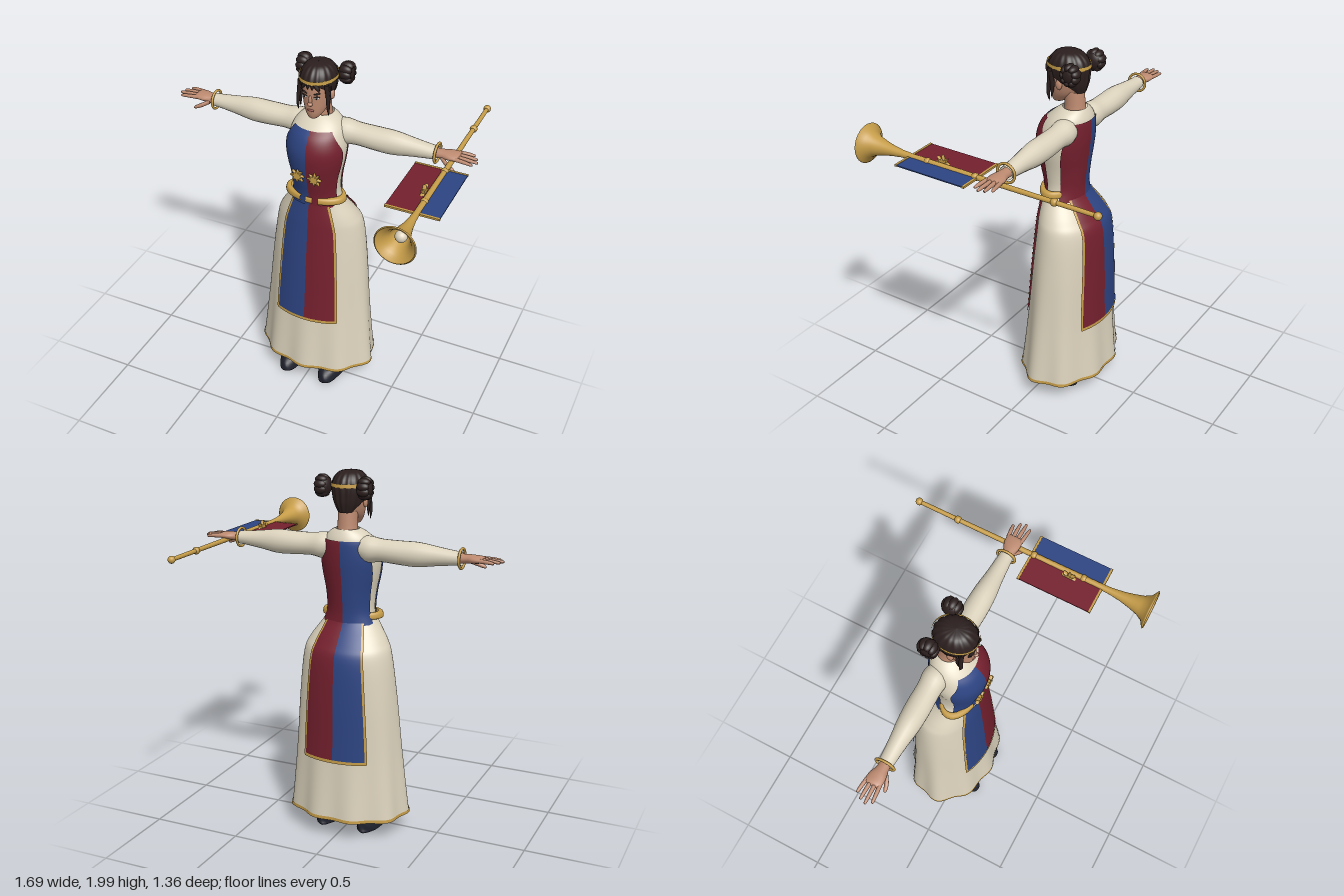
import * as THREE from 'three';
import { mergeVertices } from 'three/addons/utils/BufferGeometryUtils.js';

const mat = (name, color) => new THREE.MeshStandardMaterial({ name, color, side: THREE.DoubleSide });

export function createModel() {
  const cream = mat('cream cloth', 0xdcd3bd), blue = mat('blue cloth', 0x2d4482), red = mat('red cloth', 0x74202e);
  const gold = mat('gold', 0xc59c48), skin = mat('skin', 0xbd8a70), hair = mat('dark hair', 0x2b1f1e);
  const shoeMat = mat('shoe leather', 0x20222d), white = mat('eye white', 0xe4ded6), lip = mat('lips', 0x93544c);
  const model = new THREE.Group();
  model.name = 'herald';

  const add = (name, geo, material, x = 0, y = 0, z = 0, parent = model) => {
    const m = new THREE.Mesh(geo, material);
    m.name = name;
    m.position.set(x, y, z);
    parent.add(m);
    return m;
  };
  const ball = (name, material, p, s) => {
    const m = add(name, new THREE.SphereGeometry(1, 20, 14), material, ...p);
    m.scale.set(...s);
    return m;
  };

  // Smooth surface from a point rule over u, v in 0..1
  function grid(nu, nv, fn) {
    const pos = [], idx = [], w = nv + 1;
    for (let i = 0; i <= nu; i++) for (let j = 0; j <= nv; j++) pos.push(...fn(i / nu, j / nv));
    for (let i = 0; i < nu; i++) for (let j = 0; j < nv; j++) {
      const a = i * w + j;
      idx.push(a, a + 1, a + w, a + 1, a + w + 1, a + w);
    }
    const g = new THREE.BufferGeometry();
    g.setAttribute('position', new THREE.Float32BufferAttribute(pos, 3));
    g.setIndex(idx);
    const merged = mergeVertices(g, 1e-5);
    merged.computeVertexNormals();
    return merged;
  }
  // Catmull-Rom interpolation of a table of rows
  function at(rows, t) {
    const n = rows.length - 1, i = Math.min(Math.floor(t), n - 1), f = t - i;
    const r = k => rows[Math.max(0, Math.min(n, k))];
    return rows[i].map((b, c) => {
      const a = r(i - 1)[c], d = r(i + 1)[c], e = r(i + 2)[c];
      return b + 0.5 * f * (d - a + f * (2 * a - 5 * b + 4 * d - e + f * (3 * (b - d) + e - a)));
    });
  }
  // Oval loft: row = [y, half width, front z, back z, ...], angle 0 faces front
  function loft(rows, o = {}) {
    const { t0 = 0, t1 = rows.length - 1, nu = 24, nv = 48, from = () => 0, to = () => Math.PI * 2, off = 0, ripple = () => 1 } = o;
    return grid(nu, nv, (u, v) => {
      const t = t0 + (t1 - t0) * u, r = at(rows, t);
      const a = THREE.MathUtils.lerp(from(r), to(r), v), k = ripple(a, t);
      const rz = (r[2] - r[3]) / 2;
      return [(r[1] + off) * k * Math.sin(a), r[0], (r[2] + r[3]) / 2 + (rz + off) * k * Math.cos(a)];
    });
  }
  // Limb along x: station = [x, y, z, half height, half depth]
  const limb = (st, s, nu = 24, nv = 20) => grid(nu, nv, (u, v) => {
    const [x, y, z, ry, rz] = at(st, u * (st.length - 1)), a = v * Math.PI * 2;
    return [s * x, y - s * ry * Math.sin(a), z + rz * Math.cos(a)];
  });
  const starGeo = (R, n) => {
    const s = new THREE.Shape();
    for (let i = 0; i < n * 2; i++) {
      const a = i * Math.PI / n, r = i % 2 ? R * 0.5 : R;
      s[i ? 'lineTo' : 'moveTo'](r * Math.sin(a), r * Math.cos(a));
    }
    return new THREE.ExtrudeGeometry(s, { depth: 0.008, bevelSize: 0.004, bevelThickness: 0.006, bevelSegments: 1 });
  };

  // Skirt with folds, gold hem (last column is the tabard's half width)
  const skirt = [[0.115, 0.335, 0.165, -0.312, 0.19], [0.46, 0.303, 0.128, -0.288, 0.185], [0.8, 0.275, 0.1, -0.278, 0.168],
    [1.02, 0.248, 0.08, -0.262, 0.152], [1.1, 0.218, 0.073, -0.222, 0.138], [1.19, 0.158, 0.062, -0.155, 0.112], [1.24, 0.132, 0.058, -0.135, 0.1]];
  const folds = (a, t) => 1 + 0.035 * Math.max(0, 1 - t / 3) ** 1.5 * Math.cos(9 * a + 0.6 * Math.sin(2 * a));
  add('skirt', loft(skirt, { nu: 40, nv: 108, ripple: folds }), cream);
  add('skirtHem', loft(skirt, { t0: 0, t1: 0.09, nu: 2, nv: 108, ripple: folds, off: 0.004 }), gold);

  // Tabard hanging front and back, split into two colours, with gold borders
  function tabard(name, material, side, sx, t0, t1, edge0, edge1, off) {
    add(name, grid(24, 10, (u, v) => {
      const r = at(skirt, t0 + (t1 - t0) * u);
      const x = edge0(r[4]) + (edge1(r[4]) - edge0(r[4])) * v;
      const rz = (r[2] - r[3]) / 2, z = (r[2] + r[3]) / 2 + side * (rz * Math.sqrt(1 - (x / r[1]) ** 2) + off);
      return [sx * x, r[0], z];
    }), material);
  }
  for (const side of [1, -1]) for (const sx of [1, -1]) {
    tabard('tabardPanel', sx > 0 ? red : blue, side, sx, 1, 5.2, () => 0, w => w, 0.012);
    tabard('tabardSideTrim', gold, side, sx, 1, 5.2, w => w - 0.01, w => w + 0.002, 0.015);
    tabard('tabardBottomTrim', gold, side, sx, 0.98, 1.03, () => 0, w => w, 0.015);
  }

  // Torso: cream dress under a two-colour bodice (last columns limit the front and back panels)
  const torso = [[1.19, 0.148, 0.06, -0.155, 1.25, 1.9], [1.26, 0.128, 0.064, -0.153, 1.25, 1.93], [1.36, 0.134, 0.088, -0.163, 1.3, 1.96],
    [1.45, 0.152, 0.104, -0.174, 1.35, 2.0], [1.53, 0.16, 0.106, -0.183, 1.33, 2.08], [1.6, 0.148, 0.082, -0.186, 1.05, 2.2],
    [1.645, 0.132, 0.042, -0.183, 0.85, 2.3], [1.68, 0.1, 0.0, -0.168, 0.8, 2.4], [1.7, 0.065, -0.03, -0.155, 0.8, 2.4]];
  add('dressTop', loft(torso), cream);
  for (const s of [1, -1]) {
    const m = s > 0 ? red : blue, o = { t1: 6, nv: 16, off: 0.006 };
    add('bodiceFront', loft(torso, { ...o, from: r => s > 0 ? 0 : -r[4], to: r => s > 0 ? r[4] : 0 }), m);
    add('bodiceBack', loft(torso, { ...o, from: r => s > 0 ? r[5] : -Math.PI, to: r => s > 0 ? Math.PI : -r[5] }), m);
    add('chestStar', starGeo(0.036, 8), gold, s * 0.048, 1.395, 0.1);
  }

  // Belt with two notches at the front
  const belt = [[1.215, 0.15, 0.05, -0.11], [1.217, 0.172, 0.074, -0.125], [1.247, 0.167, 0.072, -0.122], [1.25, 0.145, 0.05, -0.11]];
  add('beltSides', loft(belt, { nu: 9, from: () => 0.3, to: () => Math.PI * 2 - 0.3 }), gold);
  add('beltCentre', loft(belt, { nu: 9, nv: 6, from: () => -0.12, to: () => 0.12 }), gold);

  // Arms
  for (const s of [1, -1]) {
    add('sleeve', limb([[0.07, 1.605, -0.1, 0.055, 0.06], [0.13, 1.6, -0.105, 0.07, 0.068], [0.2, 1.6, -0.105, 0.06, 0.062], [0.3, 1.597, -0.105, 0.062, 0.064],
      [0.4, 1.596, -0.105, 0.064, 0.06], [0.5, 1.597, -0.105, 0.05, 0.048], [0.6, 1.597, -0.105, 0.037, 0.04], [0.635, 1.597, -0.105, 0.035, 0.038]], s), cream);
    const band = add('bracelet', new THREE.TorusGeometry(0.05, 0.007, 10, 36), gold, s * 0.632, 1.598, -0.105);
    band.rotation.y = Math.PI / 2;
    add('palm', limb([[0.61, 1.597, -0.105, 0.025, 0.028], [0.66, 1.6, -0.105, 0.023, 0.032], [0.7, 1.602, -0.108, 0.021, 0.044],
      [0.74, 1.603, -0.11, 0.016, 0.045], [0.755, 1.603, -0.11, 0.002, 0.04]], s), skin);
    [0.068, 0.09, 0.1, 0.082].forEach((len, i) => {
      const z = -0.146 + i * 0.024, spread = (i - 1.5) * 0.006;
      add('finger', limb([[0.735, 1.603, z, 0.011, 0.011], [0.745 + len * 0.5, 1.602, z + spread * 0.6, 0.01, 0.01],
        [0.742 + len, 1.599, z + spread, 0.007, 0.007], [0.746 + len, 1.599, z + spread, 0.001, 0.001]], s, 10, 10), skin);
    });
    add('thumb', limb([[0.66, 1.59, -0.085, 0.014, 0.012], [0.7, 1.57, -0.06, 0.013, 0.012], [0.735, 1.555, -0.05, 0.009, 0.009],
      [0.745, 1.552, -0.05, 0.001, 0.001]], s, 10, 10), skin);
  }

  // Neck and head
  add('neck', loft([[1.66, 0.068, -0.03, -0.155], [1.7, 0.054, -0.04, -0.148], [1.79, 0.052, -0.035, -0.14]], { nu: 8 }), skin);
  add('head', loft([[1.708, 0.001, 0.012, 0.01], [1.712, 0.024, 0.032, -0.02], [1.735, 0.044, 0.042, -0.06], [1.765, 0.06, 0.046, -0.105], [1.8, 0.07, 0.047, -0.13],
    [1.85, 0.077, 0.049, -0.148], [1.9, 0.08, 0.048, -0.152], [1.95, 0.07, 0.03, -0.135], [1.985, 0.01, -0.04, -0.06]]), skin);
  ball('noseBridge', skin, [0, 1.825, 0.046], [0.009, 0.028, 0.011]);
  ball('noseTip', skin, [0, 1.803, 0.052], [0.014, 0.011, 0.013]);
  ball('lips', lip, [0, 1.765, 0.045], [0.02, 0.007, 0.006]);
  for (const s of [1, -1]) {
    ball('eyeWhite', white, [s * 0.032, 1.838, 0.04], [0.014, 0.006, 0.005]).rotation.y = s * 0.35;
    ball('iris', hair, [s * 0.032, 1.838, 0.043], [0.006, 0.006, 0.004]);
    ball('eyelash', hair, [s * 0.034, 1.845, 0.041], [0.017, 0.003, 0.005]).rotation.y = s * 0.35;
    const brow = ball('eyebrow', hair, [s * 0.035, 1.862, 0.041], [0.018, 0.004, 0.005]);
    brow.rotation.set(0, s * 0.35, s * 0.15);
    ball('ear', skin, [s * 0.08, 1.832, -0.045], [0.012, 0.028, 0.018]);
  }

  // Hair: grooved cap, buns wound from lumps, side locks and fringe
  add('hairCap', loft([[1.785, 0.05, -0.02, -0.15, 2.3], [1.83, 0.078, 0.03, -0.163, 1.85], [1.87, 0.09, 0.05, -0.168, 1.1], [1.9, 0.094, 0.056, -0.17, 0.5],
    [1.925, 0.093, 0.055, -0.168, 0], [1.96, 0.082, 0.038, -0.152, 0], [1.988, 0.055, 0.005, -0.115, 0], [1.997, 0.001, -0.05, -0.052, 0]],
  { nv: 96, nu: 32, from: r => Math.max(0, r[4]), to: r => Math.PI * 2 - Math.max(0, r[4]), ripple: a => 1 + 0.025 * Math.cos(16 * a) }), hair);
  add('headband', loft([[1.916, 0.097, 0.062, -0.174], [1.936, 0.096, 0.06, -0.172]], { nu: 2, off: 0.002 }), gold);
  for (const s of [1, -1]) {
    ball('bunCore', hair, [s * 0.115, 1.918, -0.138], [0.042, 0.056, 0.05]);
    for (let i = 0; i < 9; i++) {
      const a = i * Math.PI * 2 / 9;
      const lump = ball('bunBraid', hair, [s * 0.12, 1.918 + 0.04 * Math.sin(a), -0.138 + 0.035 * Math.cos(a)], [0.034, 0.024, 0.02]);
      lump.rotation.x = -a + 0.5;
    }
    const lock = (name, pts) => add(name, grid(12, 8, (u, v) => {
      const [x, y, z, r] = at(pts, u * (pts.length - 1)), a = v * Math.PI * 2;
      return [s * x + r * Math.sin(a), y, z + r * 1.3 * Math.cos(a)];
    }), hair);
    lock('sideLock', [[0.084, 1.735, 0.008, 0.001], [0.084, 1.78, 0.015, 0.008], [0.08, 1.84, 0.012, 0.01], [0.072, 1.91, 0.012, 0.012]]);
    lock('innerLock', [[0.076, 1.75, 0.0, 0.001], [0.078, 1.81, -0.005, 0.009], [0.08, 1.9, 0.0, 0.012]]);
    lock('fringe', [[0.05, 1.875, 0.048, 0.001], [0.04, 1.895, 0.047, 0.01], [0.025, 1.92, 0.045, 0.014]]);
    lock('fringe', [[0.012, 1.885, 0.054, 0.001], [0.012, 1.9, 0.05, 0.008], [0.008, 1.925, 0.045, 0.012]]);
  }

  // Shoes
  const shoe = [[0.004, 0.001, -0.02, -0.022], [0.005, 0.06, 0.135, -0.175], [0.03, 0.071, 0.152, -0.188], [0.07, 0.066, 0.125, -0.184],
    [0.105, 0.056, 0.04, -0.178], [0.16, 0.05, -0.03, -0.165], [0.26, 0.05, -0.04, -0.16]];
  for (const s of [1, -1]) add('shoe', loft(shoe, { ripple: (a, t) => 1 + 0.015 * Math.sin(7 * a + 3 * t) }), shoeMat, s * 0.124, 0, 0);

  // Trumpet along z
  const horn = new THREE.Group();
  horn.name = 'trumpet';
  horn.position.set(0.715, 1.58, 0);
  model.add(horn);
  const profile = [[0.001, -0.67], [0.011, -0.67], [0.012, -0.43], [0.014, 0], [0.016, 0.4], [0.019, 0.46], [0.027, 0.52], [0.038, 0.57],
    [0.052, 0.62], [0.07, 0.652], [0.098, 0.67], [0.104, 0.676], [0.098, 0.68]].map(p => new THREE.Vector2(...p));
  add('trumpetTube', new THREE.LatheGeometry(profile, 40).rotateX(Math.PI / 2), gold, 0, 0, 0, horn);
  add('bellBall', new THREE.SphereGeometry(0.03, 20, 14), cream, 0, 0, 0.6, horn);
  for (const z of [-0.66, -0.43, 0.015, 0.3]) add('tubeKnob', new THREE.SphereGeometry(0.02, 18, 12), gold, 0, 0, z, horn);

  // Banner lying flat under the trumpet, with end rods and a star
  add('bannerRed', new THREE.BoxGeometry(0.16, 0.006, 0.4), red, -0.08, 0, 0.205, horn);
  add('bannerBlue', new THREE.BoxGeometry(0.115, 0.006, 0.4), blue, 0.0575, 0, 0.205, horn);
  for (const z of [0.002, 0.406]) add('bannerTrim', new THREE.BoxGeometry(0.277, 0.01, 0.012), gold, -0.0225, 0, z, horn);
  add('bannerStar', starGeo(0.04, 8).rotateY(Math.PI / 2), gold, -0.032, 0, 0.228, horn);

  return model;
}
